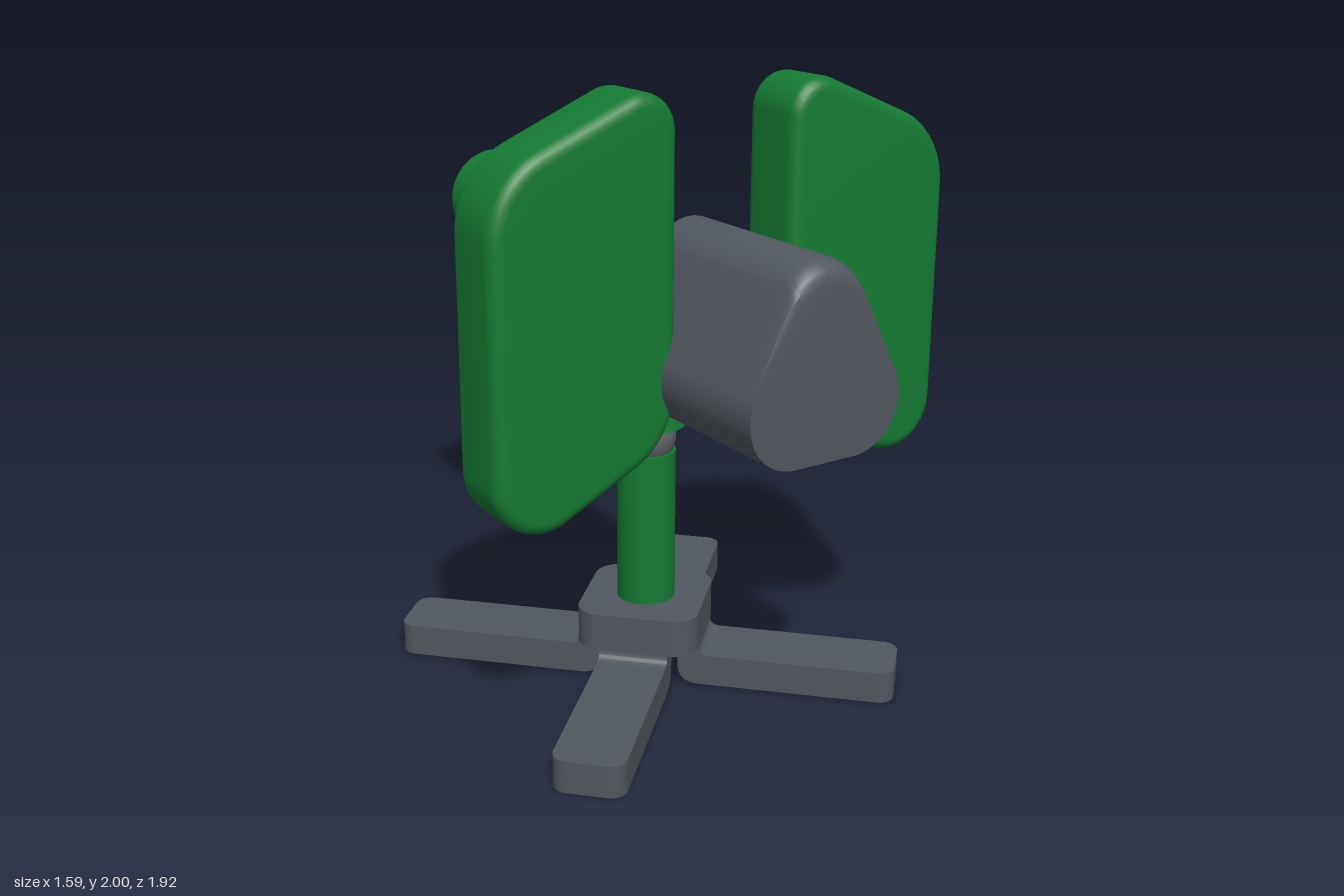
import * as THREE from 'three';
import { toCreasedNormals } from 'three/addons/utils/BufferGeometryUtils.js';

const green = new THREE.MeshStandardMaterial({ color: 0x147a34 });
const grey = new THREE.MeshStandardMaterial({ color: 0x50575e });
const ballGrey = new THREE.MeshStandardMaterial({ color: 0x606167 });

const POLE_Z = 0.06;
const BARREL_Y = 1.432;

function part(name, geometry, material, parent) {
  const mesh = new THREE.Mesh(toCreasedNormals(geometry, 0.5), material);
  mesh.name = name;
  parent.add(mesh);
  return mesh;
}

// Convex counter-clockwise polygon of [x, y, cornerRadius]
function roundedPolygon(corners) {
  const shape = new THREE.Shape();
  const n = corners.length;
  corners.forEach(([x, y, r], i) => {
    const p = new THREE.Vector2(x, y);
    const [ax, ay] = corners[(i + n - 1) % n];
    const [bx, by] = corners[(i + 1) % n];
    const a = new THREE.Vector2(ax, ay).sub(p).normalize();
    const b = new THREE.Vector2(bx, by).sub(p).normalize();
    if (r === 0) {
      if (i === 0) shape.moveTo(x, y); else shape.lineTo(x, y);
      return;
    }
    const half = Math.acos(a.dot(b)) / 2;
    const t = r / Math.tan(half);
    const c = a.clone().add(b).normalize().multiplyScalar(r / Math.sin(half)).add(p);
    const start = a.multiplyScalar(t).add(p);
    const end = b.multiplyScalar(t).add(p);
    if (i === 0) shape.moveTo(start.x, start.y); else shape.lineTo(start.x, start.y);
    shape.absarc(c.x, c.y, r,
      Math.atan2(start.y - c.y, start.x - c.x),
      Math.atan2(end.y - c.y, end.x - c.x), false);
  });
  shape.closePath();
  return shape;
}

function lathe(profile) {
  return new THREE.LatheGeometry(profile.map(([r, y]) => new THREE.Vector2(r, y)), 48);
}

// Flat plan shape raised from y0 by the given height
function slab(shape, y0, height) {
  return new THREE.ExtrudeGeometry(shape, { depth: height, bevelEnabled: false, curveSegments: 8 })
    .rotateX(-Math.PI / 2).translate(0, y0, 0);
}

function createBase() {
  const base = new THREE.Group();
  base.name = 'base';
  base.position.z = POLE_Z;

  // Rounded square hub, in line with the legs
  const s = 0.2;
  const hub = roundedPolygon([[-s, -s, 0.08], [s, -s, 0.08], [s, s, 0.08], [-s, s, 0.08]]);
  part('hub', slab(hub, 0.135, 0.125), grey, base).rotation.y = Math.PI / 4;

  // Leg: flat foot with rounded tip, and a bracket that rises under the hub
  const w = 0.113;
  const foot = slab(roundedPolygon([[0.27, -w, 0], [0.836, -w, 0.05], [0.836, w, 0.05], [0.27, w, 0]]), 0, 0.105);
  const side = new THREE.Shape();
  side.moveTo(0.27, 0);
  side.lineTo(0.27, 0.105);
  side.lineTo(0.235, 0.105);
  side.quadraticCurveTo(0.2, 0.105, 0.2, 0.136);
  side.lineTo(0.13, 0.136);
  side.lineTo(0.13, 0.07);
  side.quadraticCurveTo(0.13, 0, 0.2, 0);
  const bracket = new THREE.ExtrudeGeometry(side, { depth: 2 * w, bevelEnabled: false })
    .translate(0, 0, -w);
  for (let i = 0; i < 4; i++) {
    const leg = new THREE.Group();
    leg.name = 'leg';
    leg.rotation.y = Math.PI / 4 + i * Math.PI / 2;
    part('foot', foot, grey, leg);
    part('legBracket', bracket, grey, leg);
    base.add(leg);
  }
  return base;
}

function createHead() {
  // Rounded triangular prism whose front top edge is rounded over
  const shape = roundedPolygon([[-0.345, 1.015, 0.157], [0.345, 1.015, 0.157], [0, 1.78, 0.134]]);
  const depth = 0.66;
  const layers = [0, 0.59, 0.615, 0.635, 0.648, 0.656, 0.66];
  const drops = [0, 0, 0.004, 0.013, 0.026, 0.04, 0.065];
  const geometry = new THREE.ExtrudeGeometry(shape,
    { depth, steps: 6, bevelEnabled: false, curveSegments: 16 });
  const pos = geometry.attributes.position;
  for (let i = 0; i < pos.count; i++) {
    const k = Math.round(pos.getZ(i) / depth * 6);
    const y = pos.getY(i);
    pos.setY(i, y - drops[k] * THREE.MathUtils.smoothstep(y, 1.36, 1.58));
    pos.setZ(i, 0.3 + layers[k]);
  }
  return geometry;
}

export function createModel() {
  const model = new THREE.Group();
  model.name = 'standMountedDevice';
  model.add(createBase());

  // Stand
  part('pole', lathe([[0, 0.25], [0.096, 0.25], [0.096, 0.775], [0, 0.775]]), green, model)
    .position.z = POLE_Z;
  part('ballJoint', new THREE.SphereGeometry(0.097, 32, 20), ballGrey, model)
    .position.set(0, 0.82, POLE_Z);
  part('socketNeck', lathe([[0, 0.865], [0.128, 0.865], [0.094, 1.04], [0.094, BARREL_Y], [0, BARREL_Y]]), green, model)
    .position.z = POLE_Z;

  // Barrel, narrow behind the head and wide at the rear
  const barrel = lathe([[0, -0.31], [0.112, -0.31], [0.112, 0.12], [0.166, 0.19], [0.166, 0.96], [0, 0.96]])
    .rotateX(-Math.PI / 2);
  part('barrel', barrel, green, model).position.y = BARREL_Y;

  part('head', createHead(), grey, model);

  // Side panels with softened edges, mirrored about x
  const bevel = 0.04;
  const outline = [[0.2, 0.985, 0.24], [0.795, 0.69, 0.16], [0.795, 1.806, 0.26], [0.2, 2.056, 0.11]];
  for (const sign of [1, -1]) {
    const corners = outline.map(([x, y, r]) => [sign * x, y, r]);
    if (sign < 0) corners.reverse();
    const geometry = new THREE.ExtrudeGeometry(roundedPolygon(corners), {
      depth: 0.235 - 2 * bevel, bevelThickness: bevel, bevelSize: bevel,
      bevelOffset: -bevel, bevelSegments: 5, curveSegments: 12,
    }).translate(0, 0, 0.3 + bevel);
    part(sign > 0 ? 'leftPanel' : 'rightPanel', geometry, green, model);
  }
  return model;
}
